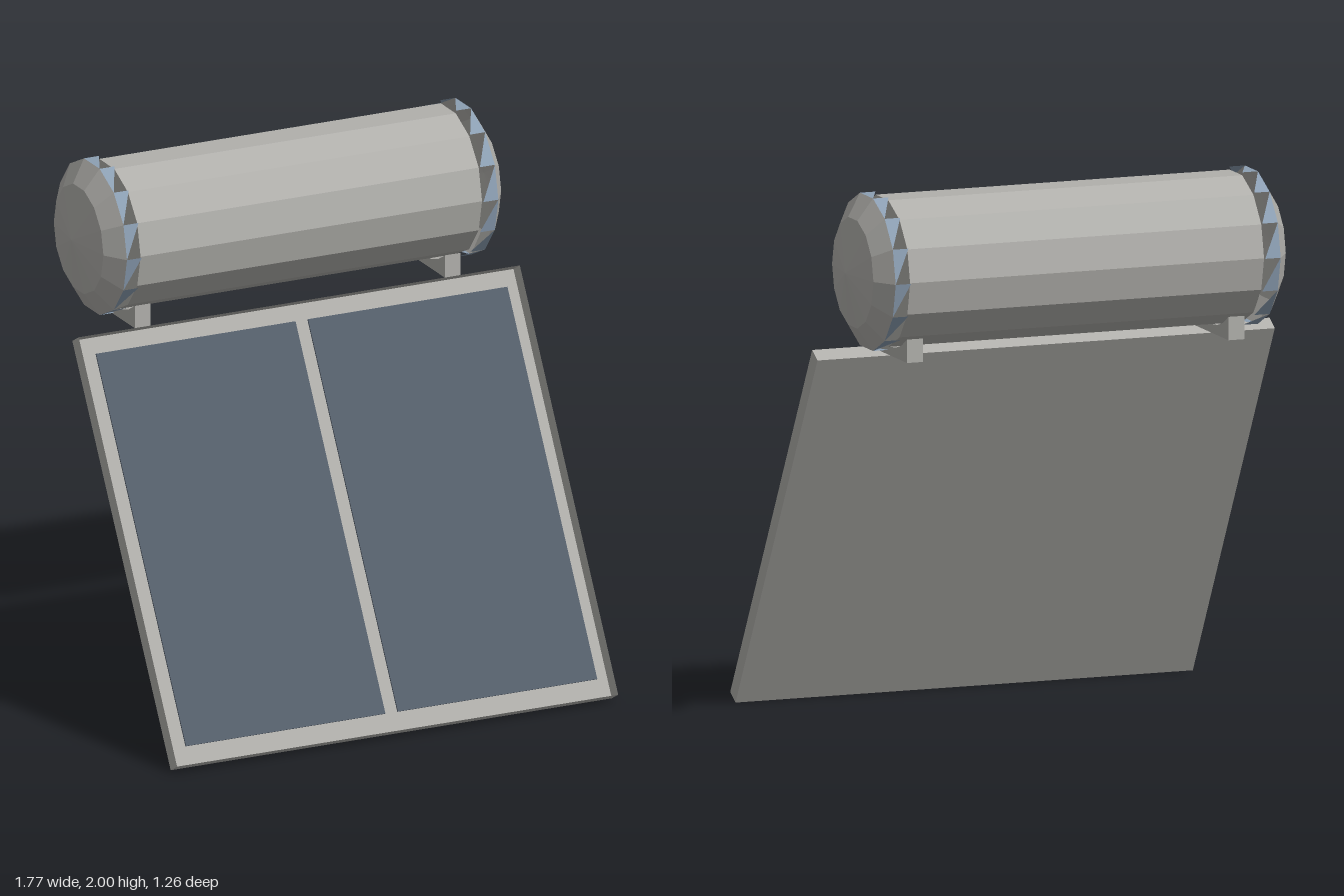
import * as THREE from 'three';

const SIDES = 14;

export function createModel() {
  const model = new THREE.Group();
  const material = (name, color) => new THREE.MeshStandardMaterial({
    name, color, flatShading: true, side: THREE.DoubleSide,
  });
  const metal = material('greyMetal', 0xb0afab);
  const glass = material('darkGlass', 0x555f6b);
  const steel = material('blueSteel', 0x8c9fb3);

  const add = (parent, name, geometry, mat, x = 0, y = 0, z = 0) => {
    const mesh = new THREE.Mesh(geometry, mat);
    mesh.name = name;
    mesh.position.set(x, y, z);
    parent.add(mesh);
    return mesh;
  };

  // Tilted collector: a shallow tray, open at the front, holding two panes
  const collector = new THREE.Group();
  collector.name = 'collector';
  collector.position.set(0, 0.708, 0.205);
  collector.rotation.x = -Math.PI / 6;
  model.add(collector);
  const tray = new THREE.BoxGeometry(1.77, 1.6, 0.06);
  const faces = Array.from(tray.index.array);
  faces.splice(24, 6); // leave out the front face
  tray.setIndex(faces);
  tray.clearGroups();
  add(collector, 'collectorTray', tray, metal);
  for (const s of [-1, 1]) {
    add(collector, 'glassPane', new THREE.BoxGeometry(0.8, 1.462, 0.006), glass, s * 0.425, 0.002, 0.012);
  }

  // Horizontal storage tank
  const tank = new THREE.Group();
  tank.name = 'tank';
  tank.position.set(0, 1.722, -0.346);
  model.add(tank);
  const barrel = new THREE.CylinderGeometry(0.275, 0.275, 1.37, SIDES);
  barrel.rotateZ(-Math.PI / 2);
  add(tank, 'tankBarrel', barrel, metal);

  // Domed end profile: radius, distance along the axis
  const dome = new THREE.LatheGeometry(
    [[0.286, 0.745], [0.202, 0.798], [0, 0.828]].map(([r, h]) => new THREE.Vector2(r, h)), SIDES);
  dome.rotateZ(-Math.PI / 2);

  // Toothed collar: one triangle per side, leaving gaps between the teeth
  const teeth = [];
  const rim = (x, k) => {
    const a = (k / SIDES) * Math.PI * 2;
    return [x, 0.286 * Math.sin(a), 0.286 * Math.cos(a)];
  };
  for (let k = 0; k < SIDES; k++) {
    teeth.push(...rim(0.745, k), ...rim(0.745, k + 1), ...rim(0.685, k));
  }
  const collar = new THREE.BufferGeometry();
  collar.setAttribute('position', new THREE.Float32BufferAttribute(teeth, 3));
  collar.computeVertexNormals();

  for (const [name, turn] of [['leftEnd', 0], ['rightEnd', Math.PI]]) {
    const end = new THREE.Group();
    end.name = name;
    end.rotation.y = turn;
    tank.add(end);
    add(end, 'tankDome', dome, metal);
    add(end, 'tankCollar', collar, steel);
  }

  // Saddle supports, hollowed on top to follow the barrel
  const saddle = new THREE.Shape();
  saddle.moveTo(-0.165, -0.312);
  saddle.lineTo(0.165, -0.312);
  for (let i = 0; i <= 6; i++) {
    const z = 0.165 - i * 0.055;
    saddle.lineTo(z, -Math.sqrt(0.28 ** 2 - z * z));
  }
  const support = new THREE.ExtrudeGeometry(saddle, { depth: 0.062, bevelEnabled: false });
  support.translate(0, 0, -0.031);
  support.rotateY(Math.PI / 2);
  for (const s of [-1, 1]) add(tank, 'tankSupport', support, metal, s * 0.622);

  return model;
}
